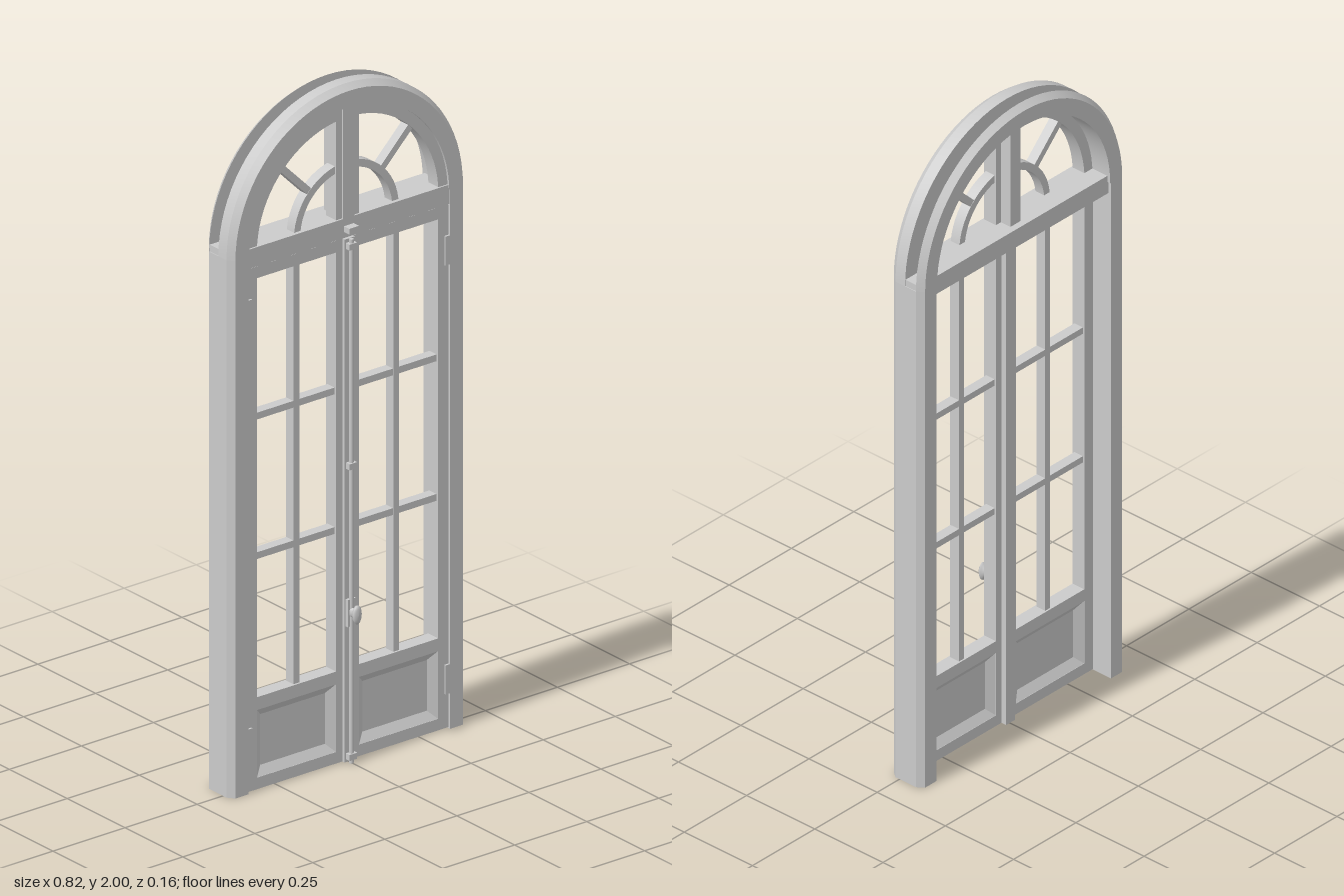
import * as THREE from 'three';
import { toCreasedNormals } from 'three/addons/utils/BufferGeometryUtils.js';

const SPRING = 1.59;   // height of the arch centre
const material = new THREE.MeshStandardMaterial({ color: 0xcccccc });

export function createModel() {
  const model = new THREE.Group();

  const add = (name, geometry, parent = model) => {
    const mesh = new THREE.Mesh(geometry, material);
    mesh.name = name;
    parent.add(mesh);
    return mesh;
  };

  // Box given by its limits
  const box = (name, x0, x1, y0, y1, z0, z1, parent) => {
    const g = new THREE.BoxGeometry(x1 - x0, y1 - y0, z1 - z0);
    g.translate((x0 + x1) / 2, (y0 + y1) / 2, (z0 + z1) / 2);
    return add(name, g, parent);
  };

  // Half ring over the arch centre; profile is [radius, z], counterclockwise
  const arch = (name, profile, segments = 40) => {
    const pts = [...profile, profile[0]].map(([r, z]) => new THREE.Vector2(r, z));
    const g = new THREE.LatheGeometry(pts, segments, Math.PI / 2, Math.PI);
    g.rotateX(Math.PI / 2).translate(0, SPRING, 0);
    return add(name, toCreasedNormals(g, 0.4));
  };
  const rect = (r0, r1, z0, z1) => [[r0, z0], [r1, z0], [r1, z1], [r0, z1]];

  const rectPath = (P, x0, x1, y0, y1) => {
    const p = new P();
    p.moveTo(x0, y0).lineTo(x1, y0).lineTo(x1, y1).lineTo(x0, y1).closePath();
    return p;
  };

  // Solid lofted through rectangles [x0, x1, y0, y1, z], from front to back
  const loftRects = (rects) => {
    const loops = rects.map(([x0, x1, y0, y1, z]) =>
      [[x0, y0, z], [x1, y0, z], [x1, y1, z], [x0, y1, z]]);
    const pos = [];
    const quad = (a, b, c, d) => pos.push(...a, ...b, ...c, ...a, ...c, ...d);
    quad(...loops[0]);
    for (let k = 0; k < loops.length - 1; k++) {
      for (let i = 0; i < 4; i++) {
        const j = (i + 1) % 4;
        quad(loops[k][i], loops[k + 1][i], loops[k + 1][j], loops[k][j]);
      }
    }
    quad(...loops[loops.length - 1].slice().reverse());
    const g = new THREE.BufferGeometry();
    g.setAttribute('position', new THREE.Float32BufferAttribute(pos, 3));
    g.computeVertexNormals();
    return g;
  };

  // Outer frame: arch with an open groove round its rim, and chamfered jambs
  arch('archFrame', [
    [0.347, -0.08], [0.395, -0.08], [0.41, -0.06], [0.353, -0.06],
    [0.353, -0.02], [0.41, -0.02], [0.41, 0.015], [0.395, 0.035], [0.347, 0.035],
  ]);
  for (const s of [1, -1]) {
    const section = new THREE.Shape([
      [0.35, -0.08], [0.395, -0.08], [0.41, -0.06],
      [0.41, 0.015], [0.395, 0.035], [0.35, 0.035],
    ].map(([x, z]) => new THREE.Vector2(s * x, -z)));
    const g = new THREE.ExtrudeGeometry(section, { depth: SPRING, bevelEnabled: false });
    add('jamb', g.rotateX(-Math.PI / 2));
    box('grooveStop', Math.min(s * 0.35, s * 0.408), Math.max(s * 0.35, s * 0.408),
      SPRING, 1.61, -0.06, -0.02);
  }
  box('transom', -0.35, 0.35, 1.553, 1.61, -0.07, 0.033);

  // Fanlight: rim, centre mullion, inner arc and diagonal bars
  arch('fanlightRim', rect(0.315, 0.349, -0.015, 0.028));
  arch('fanlightArc', rect(0.16, 0.182, -0.01, 0.022), 28);
  box('fanlightMullion', -0.02, 0.02, 1.61, 1.938, -0.05, 0.033);
  for (const s of [1, -1]) {
    box('fanlightStile', s > 0 ? 0.02 : -0.04, s > 0 ? 0.04 : -0.02, 1.61, 1.915, -0.015, 0.028);
    const bar = add('fanlightBar', new THREE.BoxGeometry(0.15, 0.02, 0.03));
    bar.position.set(s * 0.249 * Math.SQRT1_2, SPRING + 0.249 * Math.SQRT1_2, 0.006);
    bar.rotation.z = s * Math.PI / 4;
  }

  // Door leaves
  for (const s of [1, -1]) {
    const leaf = new THREE.Group();
    leaf.name = s > 0 ? 'leftLeaf' : 'rightLeaf';
    leaf.position.x = s * 0.18;
    model.add(leaf);
    // local x runs from -0.168 to 0.168; "in" is the meeting side
    const span = (a, b) => [s * (a - 0.18), s * (b - 0.18)].sort((p, q) => p - q);
    const [lx0, lx1] = span(0.012, 0.349);
    const [px0, px1] = span(0.04, 0.314);

    const outline = rectPath(THREE.Shape, lx0, lx1, 0.003, 1.55);
    outline.holes.push(
      rectPath(THREE.Path, px0, px1, 0.275, 1.515),
      rectPath(THREE.Path, px0, px1, 0.037, 0.237));
    const g = new THREE.ExtrudeGeometry(outline, { depth: 0.043, bevelEnabled: false });
    add('leafFrame', g.translate(0, 0, -0.015), leaf);

    // Sunk panel with sloping borders on both faces
    const b = 0.025;
    const inner = (z) => [px0 + b, px1 - b, 0.037 + b, 0.237 - b, z];
    const outer = (z) => [px0, px1, 0.037, 0.237, z];
    add('sunkPanel', loftRects([inner(0.01), outer(0.027), outer(-0.014), inner(0.003)]), leaf);

    // Glazing bars
    const [mx0, mx1] = span(0.163, 0.183);
    box('verticalGlazingBar', mx0, mx1, 0.275, 1.515, -0.01, 0.022, leaf);
    for (const y of [0.69, 1.103]) {
      box('horizontalGlazingBar', px0, px1, y - 0.01, y + 0.01, -0.01, 0.021, leaf);
    }

    // Hinges
    const [hx0, hx1] = span(0.335, 0.35);
    for (const y of [0.148, 1.417]) {
      box('hinge', hx0, hx1, y - 0.043, y + 0.043, 0.02, 0.034, leaf);
    }
  }

  // Cover strips over the meeting stiles
  box('frontCoverStrip', -0.018, 0.018, 0.003, 1.55, 0.02, 0.037);
  box('backCoverStrip', -0.018, 0.018, 0.003, 1.55, -0.032, -0.01);

  // Sliding bolt with guides and keeper
  const rod = add('boltRod', new THREE.CylinderGeometry(0.0065, 0.0065, 1.55, 12));
  rod.position.set(0, 0.775, 0.044);
  for (const y of [0.02, 0.88, 1.53]) {
    box('boltGuide', -0.013, 0.013, y - 0.009, y + 0.009, 0.036, 0.053);
  }
  box('boltKeeper', -0.017, 0.017, 1.571, 1.588, 0.03, 0.056);
  box('knobPlate', -0.014, 0.014, 0.405, 0.485, 0.036, 0.046);

  // Oval knob
  const knob = new THREE.LatheGeometry([
    [0.009, 0], [0.007, 0.008], [0.007, 0.016], [0.014, 0.021],
    [0.0145, 0.027], [0.01, 0.032], [0, 0.033],
  ].map(([r, y]) => new THREE.Vector2(r, y)), 20);
  knob.rotateX(Math.PI / 2).scale(1, 1.9, 1).translate(0, 0.446, 0.044);
  add('knob', knob);

  return model;
}
